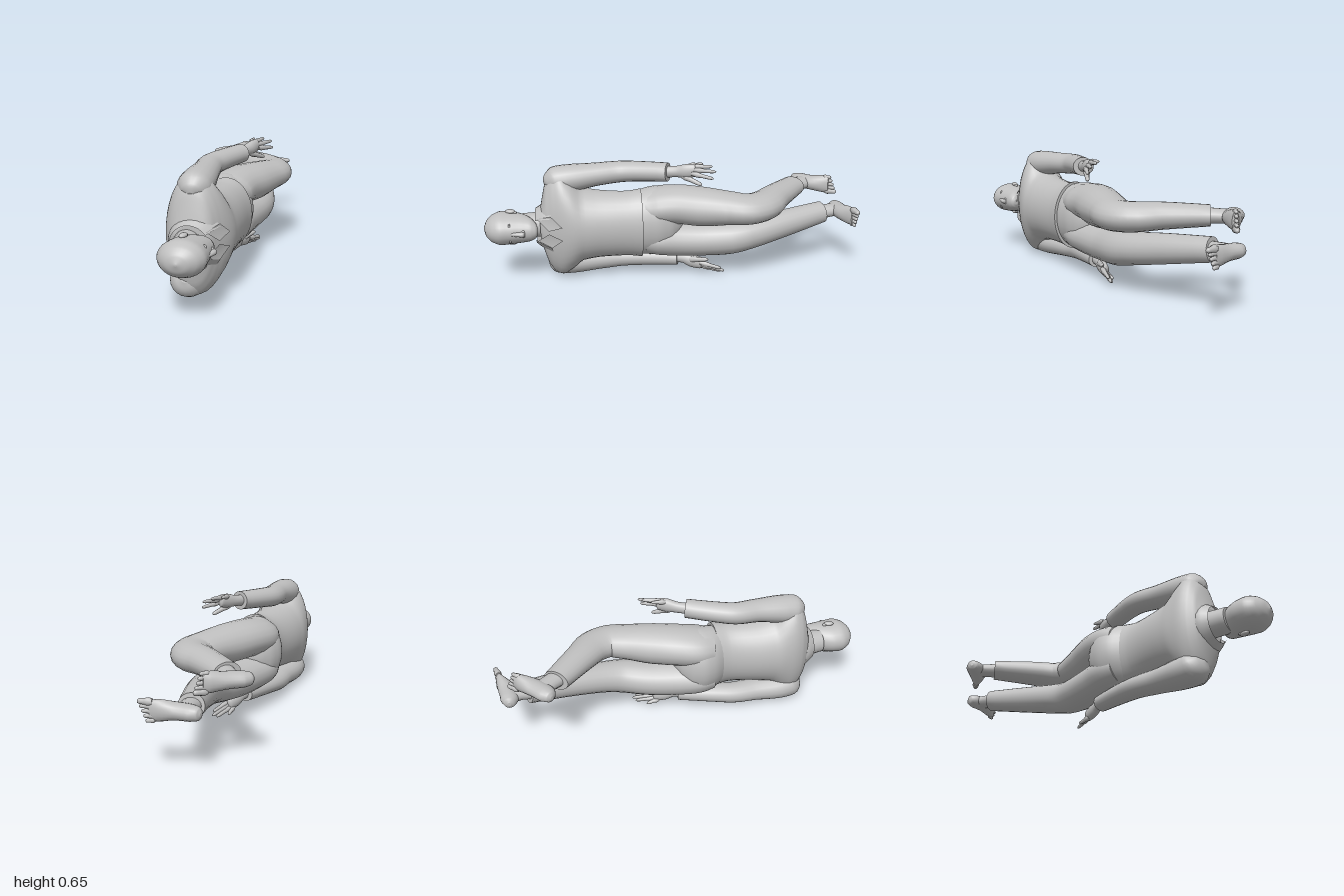
import * as THREE from 'three';

const V = (x, y, z) => new THREE.Vector3(x, y, z);
const grey = new THREE.MeshStandardMaterial({ color: 0xc0c0c0, side: THREE.DoubleSide });
grey.name = 'plain grey';

// Smooth skin over oval sections [x, y, z, depth radius, y radius]
function loft(sections, { sides = 20, steps = 4, axis = null, arc = null } = {}) {
  const path = new THREE.CatmullRomCurve3(sections.map(s => V(s[0], s[1], s[2])));
  const radii = new THREE.CatmullRomCurve3(sections.map(s => V(s[3], s[4], 0)));
  const n = (sections.length - 1) * steps;
  const cols = arc ? sides + 1 : sides;
  const pos = [], idx = [];
  for (let i = 0; i <= n; i++) {
    const p = path.getPoint(i / n), r = radii.getPoint(i / n);
    const t = axis ? axis.clone() : path.getTangent(i / n);
    const u = V(0, 1, 0).addScaledVector(t, -t.y).normalize();
    const v = u.clone().cross(t);
    for (let j = 0; j < cols; j++) {
      const ang = arc ? arc[0] + (arc[1] - arc[0]) * j / sides : j / sides * Math.PI * 2;
      const q = p.clone().addScaledVector(v, Math.cos(ang) * Math.max(r.x, 0.001))
        .addScaledVector(u, Math.sin(ang) * Math.max(r.y, 0.001));
      pos.push(q.x, q.y, q.z);
    }
  }
  for (let i = 0; i < n; i++) for (let j = 0; j < sides; j++) {
    const a = i * cols + j, b = i * cols + (j + 1) % cols;
    idx.push(a, b, b + cols, a, b + cols, a + cols);
  }
  // Flat end caps with their own corners so the rim stays sharp
  if (!arc) for (const end of [0, n]) {
    const c = pos.length / 3, m = path.getPoint(end / n);
    pos.push(m.x, m.y, m.z);
    for (let j = 0; j < sides; j++) pos.push(...pos.slice((end * cols + j) * 3, (end * cols + j) * 3 + 3));
    for (let j = 0; j < sides; j++) {
      const a = c + 1 + j, b = c + 1 + (j + 1) % sides;
      if (end) idx.push(c, a, b); else idx.push(c, b, a);
    }
  }
  const g = new THREE.BufferGeometry();
  g.setAttribute('position', new THREE.Float32BufferAttribute(pos, 3));
  g.setIndex(idx);
  g.computeVertexNormals();
  return g;
}

// Tapered finger or toe with a rounded tip
function digit(a, b, r) {
  const s = [[0, 1], [0.5, 1], [0.85, 0.85], [0.96, 0.55], [1, 0.1]];
  return loft(s.map(([k, f]) => [...a.map((c, i) => c + (b[i] - c) * k), r * f, r * f]), { sides: 8, steps: 2 });
}

export function createModel() {
  const model = new THREE.Group();
  model.name = 'lyingMan';
  const add = (name, geo) => {
    const m = new THREE.Mesh(geo, grey);
    m.name = name;
    model.add(m);
    return m;
  };
  const Z = V(0, 0, 1), down = V(0, 0, -1);
  const ball = (name, p, s, turn = 0) => {
    const m = add(name, new THREE.SphereGeometry(1, 14, 10));
    m.position.set(...p);
    m.scale.set(...s);
    m.rotation.y = turn;
  };

  // Head and neck
  add('head', loft([
    [0.085, 0.303, 0.718, 0.012, 0.016], [0.075, 0.303, 0.728, 0.036, 0.038],
    [0.055, 0.303, 0.755, 0.064, 0.06], [0.03, 0.303, 0.80, 0.09, 0.074],
    [0.017, 0.303, 0.855, 0.107, 0.082], [0.015, 0.303, 0.91, 0.112, 0.086],
    [0.015, 0.303, 0.957, 0.091, 0.07], [0.015, 0.303, 0.986, 0.053, 0.042],
    [0.015, 0.303, 1.0, 0.004, 0.004]], { axis: Z, sides: 28 }));
  add('neck', loft([[-0.025, 0.3, 0.66, 0.07, 0.072], [-0.022, 0.3, 0.71, 0.067, 0.067],
    [-0.01, 0.302, 0.80, 0.068, 0.064]], { axis: Z }));

  // Face
  add('nose', loft([[0.108, 0.303, 0.875, 0.008, 0.008], [0.118, 0.303, 0.84, 0.012, 0.01],
    [0.125, 0.303, 0.805, 0.015, 0.013], [0.124, 0.303, 0.79, 0.015, 0.014],
    [0.115, 0.303, 0.782, 0.006, 0.006]], { axis: down, sides: 14 }));
  for (const z of [0.767, 0.759]) ball('lip', [0.106, 0.303, z], [0.012, 0.024, 0.005]);
  for (const s of [-1, 1]) {
    ball('nostril', [0.117, 0.303 + s * 0.012, 0.791], [0.01, 0.008, 0.008]);
    ball('eye', [0.1, 0.303 + s * 0.032, 0.842], [0.01, 0.013, 0.007]);
    ball('brow', [0.104, 0.303 + s * 0.033, 0.861], [0.01, 0.022, 0.007]);
    ball('ear', [0.008, 0.303 + s * 0.088, 0.86], [0.017, 0.011, 0.027], -0.25);
    ball('earLobe', [0.012, 0.303 + s * 0.081, 0.838], [0.01, 0.009, 0.013]);
  }

  // Shirt body with square shoulders and a slightly flared hem
  add('shirt', loft([
    [0.03, 0.302, 0.175, 0.136, 0.188], [0.03, 0.302, 0.25, 0.13, 0.178],
    [0.012, 0.302, 0.4, 0.148, 0.184], [0.002, 0.303, 0.49, 0.157, 0.203],
    [-0.004, 0.308, 0.55, 0.157, 0.262], [-0.012, 0.312, 0.6, 0.146, 0.297],
    [-0.016, 0.312, 0.64, 0.13, 0.28], [-0.014, 0.31, 0.672, 0.11, 0.228],
    [-0.01, 0.304, 0.692, 0.093, 0.15], [-0.01, 0.302, 0.706, 0.078, 0.085]], { axis: Z, sides: 36 }));

  // Open collar and its two points
  add('collar', loft([[0.008, 0.295, 0.645, 0.134, 0.143], [-0.003, 0.297, 0.69, 0.118, 0.122],
    [-0.008, 0.3, 0.73, 0.093, 0.093]], { axis: Z, arc: [0.6, Math.PI * 2 - 0.6] }));
  for (const s of [-1, 1]) {
    const p = [[0.07, 0.062, 0.722], [0.118, 0.008, 0.66], [0.15, 0.035, 0.59], [0.116, 0.087, 0.648]];
    const g = new THREE.BufferGeometry();
    g.setAttribute('position', new THREE.Float32BufferAttribute(p.flatMap(([x, y, z]) => [x, 0.302 + s * y, z]), 3));
    g.setIndex(s > 0 ? [0, 1, 2, 0, 2, 3] : [0, 2, 1, 0, 3, 2]);
    g.computeVertexNormals();
    add('collarPoint', g);
  }

  // Sleeves
  add('upperSleeve', loft([
    [-0.015, 0.52, 0.672, 0.015, 0.015], [-0.015, 0.528, 0.656, 0.052, 0.05],
    [-0.015, 0.542, 0.61, 0.083, 0.077], [-0.015, 0.553, 0.54, 0.083, 0.073],
    [-0.018, 0.568, 0.4, 0.069, 0.06], [-0.025, 0.575, 0.28, 0.065, 0.056],
    [0.003, 0.582, 0.19, 0.061, 0.053], [0.073, 0.592, 0.035, 0.054, 0.049]]));
  add('lowerSleeve', loft([
    [-0.048, 0.112, 0.672, 0.015, 0.015], [-0.048, 0.105, 0.656, 0.055, 0.05],
    [-0.05, 0.085, 0.61, 0.09, 0.081], [-0.052, 0.076, 0.54, 0.092, 0.074],
    [-0.053, 0.075, 0.4, 0.073, 0.061], [-0.055, 0.077, 0.28, 0.065, 0.055],
    [-0.03, 0.083, 0.17, 0.061, 0.051], [0.025, 0.088, -0.025, 0.049, 0.043]]));

  // Hands: palm, then four fingers and the thumb
  const hand = (name, palm, fingers) => {
    add(name + 'Palm', loft(palm, { sides: 16 }));
    fingers.forEach(([a, b], i) => add(name + (i === 4 ? 'Thumb' : 'Finger'), digit(a, b, i === 4 ? 0.013 : 0.0105)));
  };
  hand('upperHand',
    [[0.065, 0.592, 0.05, 0.03, 0.03], [0.088, 0.598, -0.01, 0.026, 0.03],
      [0.11, 0.605, -0.055, 0.026, 0.037], [0.128, 0.613, -0.1, 0.02, 0.033], [0.133, 0.614, -0.108, 0.008, 0.018]],
    [[[0.103, 0.632, -0.07], [0.105, 0.638, -0.145]], [[0.12, 0.63, -0.085], [0.15, 0.636, -0.185]],
      [[0.135, 0.617, -0.09], [0.192, 0.62, -0.197]], [[0.14, 0.6, -0.08], [0.202, 0.587, -0.182]],
      [[0.1, 0.582, -0.03], [0.165, 0.543, -0.13]]]);
  hand('lowerHand',
    [[0.02, 0.088, 0, 0.028, 0.028], [0.035, 0.084, -0.055, 0.025, 0.028],
      [0.05, 0.071, -0.1, 0.026, 0.036], [0.066, 0.06, -0.15, 0.02, 0.032], [0.069, 0.058, -0.158, 0.008, 0.016]],
    [[[0.05, 0.042, -0.13], [0.053, 0.023, -0.2]], [[0.062, 0.046, -0.145], [0.1, 0.022, -0.253]],
      [[0.075, 0.057, -0.15], [0.118, 0.031, -0.268]], [[0.08, 0.07, -0.14], [0.12, 0.048, -0.25]],
      [[0.05, 0.082, -0.075], [0.108, 0.098, -0.18]]]);

  // Trousers
  add('trouserSeat', loft([
    [0.03, 0.302, 0.22, 0.118, 0.168], [0.01, 0.302, 0.15, 0.143, 0.184], [0.003, 0.302, 0.09, 0.15, 0.19],
    [0.005, 0.302, 0.02, 0.13, 0.165], [0.01, 0.302, -0.03, 0.085, 0.09], [0.015, 0.302, -0.06, 0.02, 0.02]],
    { axis: down, sides: 28 }));
  add('upperTrouserLeg', loft([
    [0.005, 0.385, 0.15, 0.125, 0.09], [0.01, 0.392, 0.07, 0.142, 0.1], [0.035, 0.399, -0.03, 0.134, 0.102],
    [0.085, 0.397, -0.15, 0.126, 0.102], [0.137, 0.401, -0.28, 0.114, 0.087], [0.168, 0.402, -0.375, 0.111, 0.077],
    [0.135, 0.405, -0.46, 0.106, 0.074], [0.035, 0.413, -0.55, 0.087, 0.067], [-0.137, 0.418, -0.703, 0.07, 0.052]]));
  add('lowerTrouserLeg', loft([
    [0.005, 0.218, 0.15, 0.125, 0.09], [0.008, 0.212, 0.07, 0.14, 0.098], [0.022, 0.205, -0.03, 0.127, 0.098],
    [0.05, 0.203, -0.17, 0.111, 0.094], [0.085, 0.215, -0.31, 0.098, 0.09], [0.085, 0.23, -0.4, 0.091, 0.084],
    [0.045, 0.262, -0.6, 0.076, 0.075], [-0.02, 0.295, -0.84, 0.062, 0.06]]));

  // Feet: ankle, sole and five toes spread between two tip rows
  const foot = (name, ankle, sole, row, tipRow) => {
    add(name + 'Ankle', loft(ankle, { sides: 16 }));
    add(name, loft(sole, { sides: 18 }));
    for (let i = 0; i < 5; i++) {
      const mix = ([a, b]) => a.map((c, k) => c + (b[k] - c) * i / 4);
      add(name + 'Toe', digit(mix(row), mix(tipRow), i === 0 ? 0.015 : 0.0105));
    }
  };
  foot('upperFoot',
    [[-0.11, 0.418, -0.68, 0.05, 0.04], [-0.15, 0.42, -0.735, 0.048, 0.036], [-0.188, 0.42, -0.785, 0.055, 0.034]],
    [[-0.278, 0.42, -0.742, 0.008, 0.01], [-0.268, 0.42, -0.748, 0.03, 0.028], [-0.232, 0.42, -0.768, 0.05, 0.037],
      [-0.168, 0.422, -0.816, 0.05, 0.04], [-0.12, 0.426, -0.873, 0.032, 0.049], [-0.098, 0.427, -0.9, 0.016, 0.045]],
    [[-0.115, 0.388, -0.885], [-0.12, 0.466, -0.875]], [[-0.073, 0.39, -0.937], [-0.092, 0.47, -0.91]]);
  foot('lowerFoot',
    [[-0.015, 0.292, -0.81, 0.048, 0.04], [-0.022, 0.3, -0.88, 0.046, 0.036], [-0.035, 0.302, -0.935, 0.055, 0.034]],
    [[-0.112, 0.302, -0.945, 0.008, 0.01], [-0.102, 0.302, -0.943, 0.028, 0.028], [-0.065, 0.302, -0.938, 0.046, 0.037],
      [0.01, 0.304, -0.942, 0.046, 0.04], [0.075, 0.306, -0.964, 0.029, 0.05], [0.115, 0.306, -0.977, 0.014, 0.046]],
    [[0.1, 0.345, -0.974], [0.09, 0.265, -0.975]], [[0.168, 0.345, -0.985], [0.128, 0.26, -0.989]]);

  return model;
}
